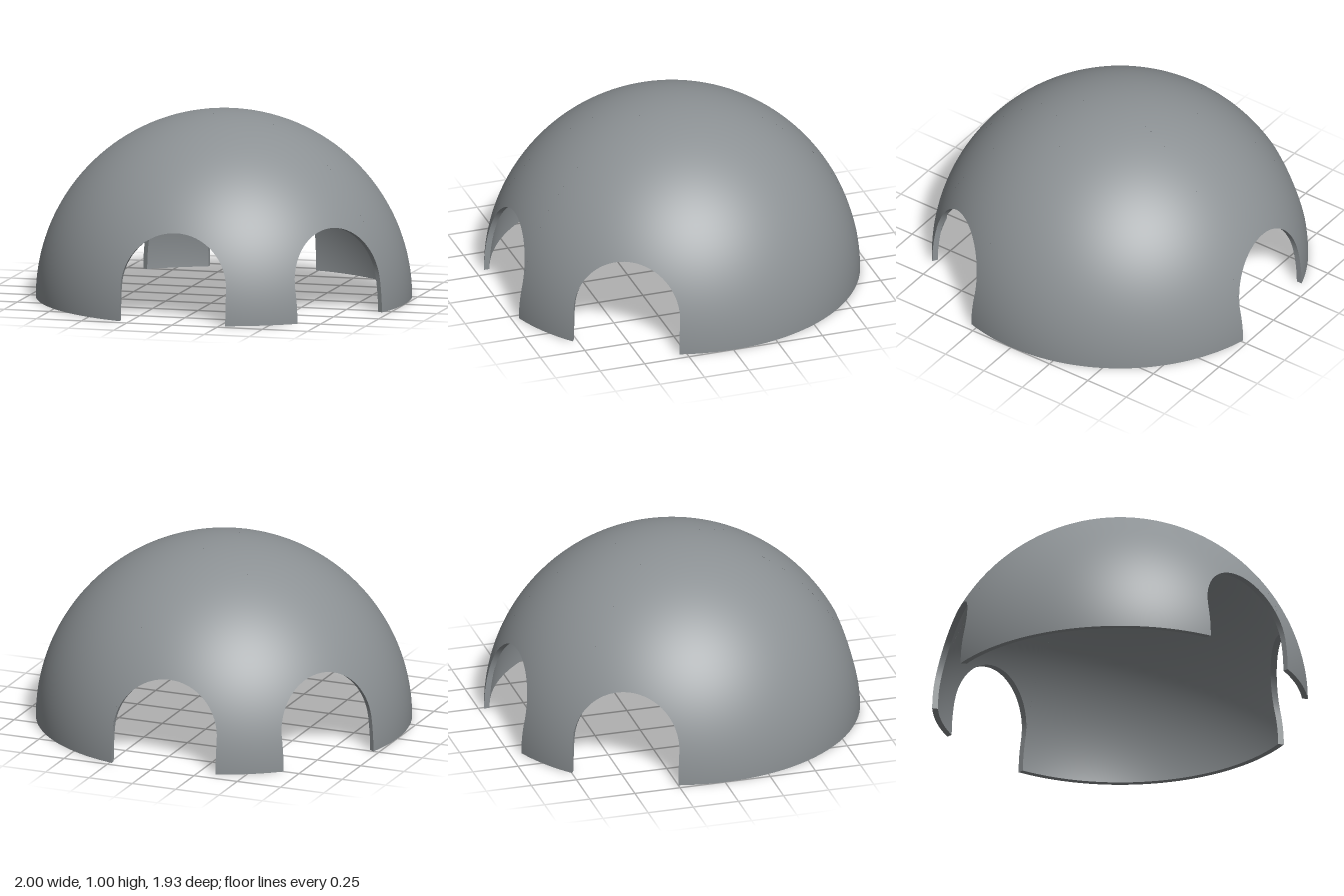
import * as THREE from 'three';

const OUTER = 1, INNER = 0.97;          // shell radii
const HALF = 0.293, SPRING = 0.182;     // doorway half width and height where its arch begins
const ARCH = 32, COLS = 40, BAND = 8, RISE = 32;

// Two straight tunnels pass through the dome, giving four doorways:
// outward angle from +z towards +x, and sideways offset of the tunnel axis
const rad = THREE.MathUtils.degToRad;
const doors = [
  { a: rad(1.35), o: -0.0326 },
  { a: rad(57.3), o: -0.02 },
  { a: rad(181.35), o: 0.0326 },
  { a: rad(237.3), o: 0.02 },
];

// Point where a tunnel line (u across, y up) meets the sphere of radius r
function doorPoint(door, u, y, r) {
  const s = door.o + u, d = Math.sqrt(r * r - y * y - s * s);
  const sin = Math.sin(door.a), cos = Math.cos(door.a);
  return new THREE.Vector3(cos * s + sin * d, y, -sin * s + cos * d);
}

// Horizontal row of points on the wall between one doorway and the next
function wallRow(i, y, r) {
  const p = doorPoint(doors[i], HALF, y, r);
  const q = doorPoint(doors[(i + 1) % 4], -HALF, y, r);
  const from = Math.atan2(p.x, p.z);
  let to = Math.atan2(q.x, q.z);
  if (to < from) to += Math.PI * 2;
  const h = Math.hypot(p.x, p.z), row = [];
  for (let k = 0; k <= COLS; k++) {
    const t = from + (to - from) * k / COLS;
    row.push(new THREE.Vector3(Math.sin(t) * h, y, Math.cos(t) * h));
  }
  return row;
}

// Arch of a doorway, from its left spring point to its right one
function archRow(door, r) {
  const row = [];
  for (let k = 0; k <= ARCH; k++) {
    const t = Math.PI * (1 - k / ARCH);
    row.push(doorPoint(door, HALF * Math.cos(t), SPRING + HALF * Math.sin(t), r));
  }
  return row;
}

// Whole doorway edge: up one side, over the arch, down the other
function doorEdge(door, r) {
  const left = [], right = [];
  for (let k = 0; k < BAND; k++) {
    left.push(doorPoint(door, -HALF, SPRING * k / BAND, r));
    right.unshift(doorPoint(door, HALF, SPRING * k / BAND, r));
  }
  return [...left, ...archRow(door, r), ...right];
}

// Surface through rows of points; side 1 or -1 gives spherical normals out or in
function surface(rows, side = 0) {
  const n = rows[0].length, index = [];
  for (let j = 0; j < rows.length - 1; j++) {
    for (let i = 0; i < n - 1; i++) {
      const a = j * n + i, b = a + 1, c = b + n, d = a + n;
      if (side < 0) index.push(a, c, b, a, d, c);
      else index.push(a, b, c, a, c, d);
    }
  }
  const points = rows.flat();
  const geometry = new THREE.BufferGeometry().setFromPoints(points);
  geometry.setIndex(index);
  if (side) {
    const normals = points.flatMap(p => p.clone().normalize().multiplyScalar(side).toArray());
    geometry.setAttribute('normal', new THREE.Float32BufferAttribute(normals, 3));
  } else geometry.computeVertexNormals();
  return geometry;
}

// Upper shell: the outline over arches and walls, drawn up to the apex
function capRows(r) {
  const outline = doors.flatMap((door, i) =>
    [...archRow(door, r), ...wallRow(i, SPRING, r).slice(1, -1)]);
  outline.push(outline[0].clone());
  const rows = [];
  for (let j = 0; j <= RISE; j++) {
    rows.push(outline.map(p => {
      const phi = Math.acos(p.y / r) * (1 - j / RISE);
      return new THREE.Vector3().setFromSphericalCoords(r, phi, Math.atan2(p.x, p.z));
    }));
  }
  return rows;
}

// Lower shell: wall between two doorways, from the ground to the spring line
function wallRows(i, r) {
  return Array.from({ length: BAND + 1 }, (_, k) => wallRow(i, SPRING * k / BAND, r));
}

export function createModel() {
  const group = new THREE.Group();
  group.name = 'dome';
  const grey = new THREE.MeshStandardMaterial({ color: 0x8c9194 });
  grey.name = 'grey';
  const add = (name, geometry) => {
    const mesh = new THREE.Mesh(geometry, grey);
    mesh.name = name;
    group.add(mesh);
  };

  for (const [label, r, side] of [['outer', OUTER, 1], ['inner', INNER, -1]]) {
    add(label + 'Vault', surface(capRows(r), side));
    doors.forEach((_, i) => add(label + 'Wall' + (i + 1), surface(wallRows(i, r), side)));
  }

  // Doorway reveals and ground rims close the thickness of the shell
  doors.forEach((door, i) => {
    add('doorReveal' + (i + 1), surface([doorEdge(door, INNER), doorEdge(door, OUTER)]));
    add('baseRim' + (i + 1), surface([wallRow(i, 0, INNER), wallRow(i, 0, OUTER)]));
  });
  return group;
}
